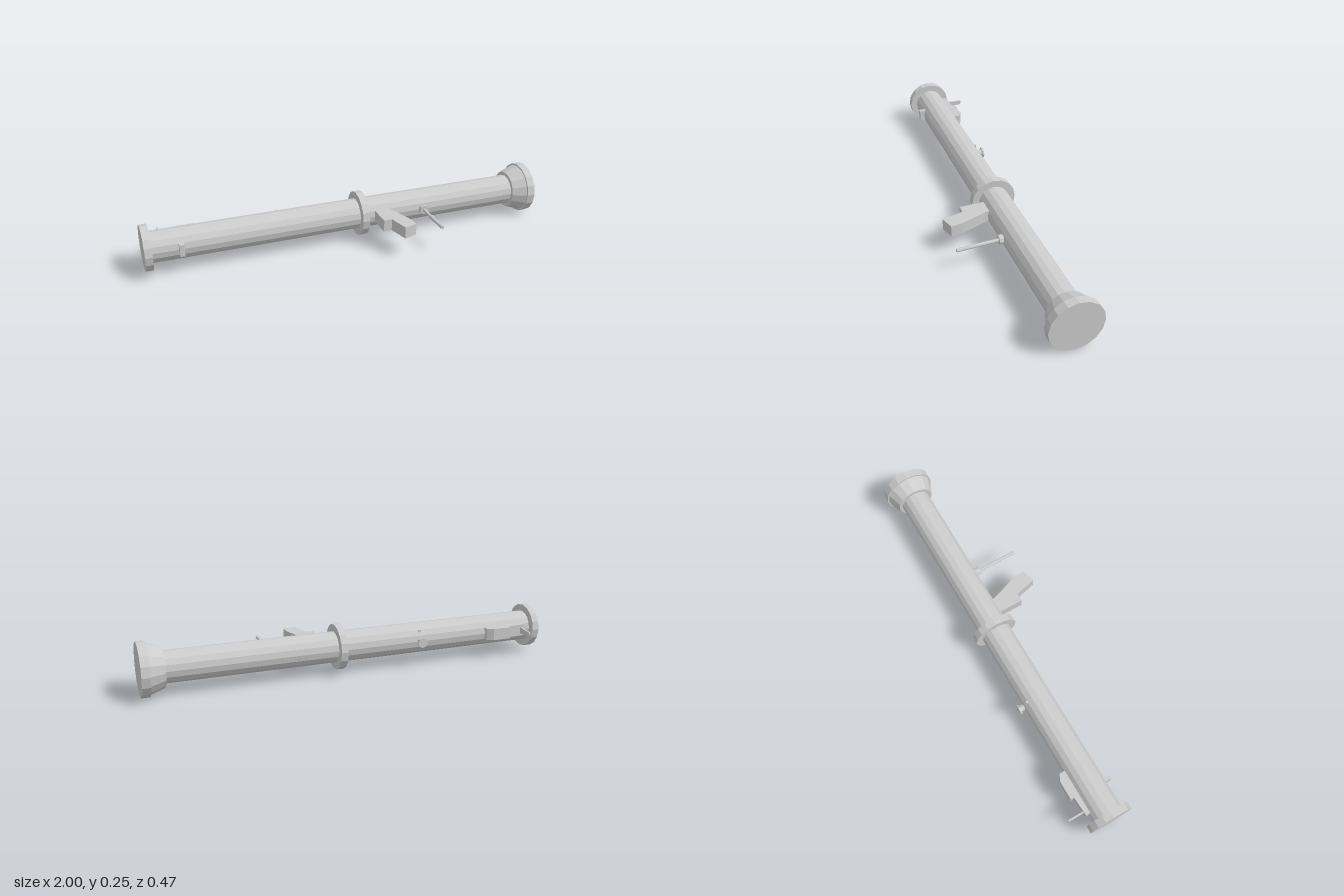
import * as THREE from 'three';

const AXIS_Y = 0.127, AXIS_Z = -0.063;

export function createModel() {
  const group = new THREE.Group();
  const material = new THREE.MeshStandardMaterial({ color: 0xcccccc, flatShading: true });

  const add = (name, geometry, x = 0, y = 0, z = 0) => {
    const mesh = new THREE.Mesh(geometry, material);
    mesh.name = name;
    mesh.position.set(x, y, z);
    group.add(mesh);
    return mesh;
  };

  // Sixteen-sided section along the launcher axis, from x0 to x1
  const section = (name, x0, x1, r0, r1 = r0) =>
    add(name, new THREE.CylinderGeometry(r1, r0, x1 - x0, 16).rotateZ(-Math.PI / 2),
      (x0 + x1) / 2, AXIS_Y, AXIS_Z);

  // Outline in x and z, extruded between two heights
  const plate = (name, points, y0, y1) => {
    const shape = new THREE.Shape(points.map(p => new THREE.Vector2(...p)));
    const geo = new THREE.ExtrudeGeometry(shape, { depth: y1 - y0, bevelEnabled: false });
    return add(name, geo.rotateX(Math.PI / 2), 0, y1, 0);
  };

  // Round part pointing along z
  const peg = (name, x, y, z0, z1, r, sides = 8) =>
    add(name, new THREE.CylinderGeometry(r, r, z1 - z0, sides).rotateX(Math.PI / 2), x, y, (z0 + z1) / 2);

  // Tube, rings and flared end
  section('tube', -0.98, 0.92, 0.075);
  section('endRing', -1, -0.965, 0.109);
  section('middleRing', 0.045, 0.08, 0.11);
  section('flare', 0.89, 0.96, 0.093, 0.119);
  section('flareRim', 0.96, 1, 0.127);

  // Pistol grip
  plate('grip', [[0.12, -0.01], [0.195, -0.01], [0.2, 0.02], [0.245, 0.155], [0.25, 0.21],
    [0.185, 0.23], [0.16, 0.125], [0.12, 0.125]], 0.1, 0.158);

  // Thin foregrip rod with its collar
  peg('rodCollar', 0.38, 0.128, 0, 0.03, 0.023);
  peg('rod', 0.38, 0.125, 0, 0.23, 0.009).rotation.x = 0.02;

  // Small lug near the end ring
  add('lug', new THREE.BoxGeometry(0.022, 0.058, 0.045), -0.832, 0.13, 0.013);

  // Sight housing and its upright leaf
  plate('sightHousing', [[-0.925, -0.13], [-0.925, -0.153], [-0.83, -0.158], [-0.83, -0.175],
    [-0.735, -0.175], [-0.705, -0.158], [-0.705, -0.13]], 0.1, 0.158);
  const leaf = new THREE.Shape([[0.13, 0.108], [0.19, 0.117], [0.229, 0.117], [0.235, 0.123],
    [0.235, 0.135], [0.229, 0.14], [0.19, 0.14], [0.13, 0.15]].map(p => new THREE.Vector2(...p)));
  add('sightLeaf', new THREE.ExtrudeGeometry(leaf, { depth: 0.008, bevelEnabled: false })
    .rotateY(Math.PI / 2), -0.909);

  // Sling knob and pin
  peg('knobStem', -0.345, 0.127, -0.158, -0.12, 0.016);
  peg('knobCap', -0.345, 0.127, -0.165, -0.156, 0.026);
  add('knobPin', new THREE.BoxGeometry(0.012, 0.012, 0.012), -0.345, 0.176, -0.119);

  return group;
}
